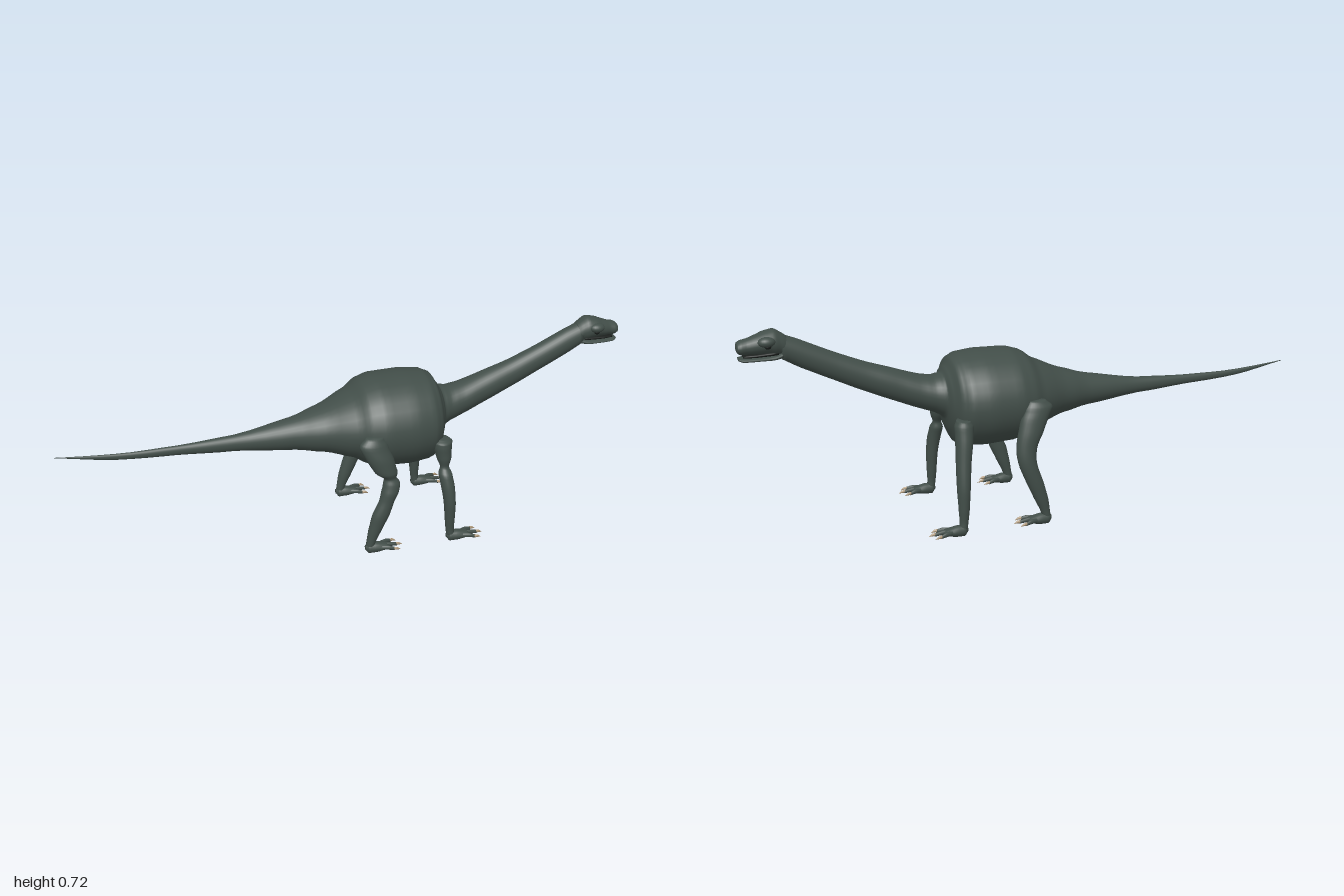
import * as THREE from 'three';

const hide = new THREE.MeshStandardMaterial({ color: 0x424e49 });
hide.name = 'hide';
const claw = new THREE.MeshStandardMaterial({ color: 0xb09a7c });
claw.name = 'claw';
const dark = new THREE.MeshStandardMaterial({ color: 0x1a1e1c });
dark.name = 'dark mouth and eyes';

// Smooth skin through elliptical sections [x, y, z, ra, rb].
// axis 'x': ra is the height radius, rb the z radius. axis 'y': ra is the x radius, rb the z radius.
function loft(name, axis, sections, material = hide, sides = 24, steps = 4) {
  const centres = new THREE.CatmullRomCurve3(sections.map(s => new THREE.Vector3(s[0], s[1], s[2])));
  const n = (sections.length - 1) * steps;
  const pos = [], idx = [];
  for (let j = 0; j <= n; j++) {
    const c = centres.getPoint(j / n);
    const k = Math.min(Math.floor(j / steps), sections.length - 2);
    const t = j / steps - k, e = t * t * (3 - 2 * t) * 0.4 + t * 0.6;
    const ra = THREE.MathUtils.lerp(sections[k][3], sections[k + 1][3], e);
    const rb = THREE.MathUtils.lerp(sections[k][4], sections[k + 1][4], e);
    for (let i = 0; i < sides; i++) {
      const a = i / sides * Math.PI * 2, u = Math.cos(a), v = Math.sin(a);
      if (axis === 'x') pos.push(c.x, c.y + ra * u, c.z + rb * v);
      else pos.push(c.x + ra * v, c.y, c.z + rb * u);
    }
  }
  for (let j = 0; j < n; j++) for (let i = 0; i < sides; i++) {
    const a = j * sides + i, b = j * sides + (i + 1) % sides;
    idx.push(a, b, a + sides, b, b + sides, a + sides);
  }
  // End caps
  const first = sections[0], last = sections[sections.length - 1], c0 = pos.length / 3;
  pos.push(first[0], first[1], first[2], last[0], last[1], last[2]);
  for (let i = 0; i < sides; i++) {
    const k = (i + 1) % sides;
    idx.push(c0, k, i, c0 + 1, n * sides + i, n * sides + k);
  }
  const g = new THREE.BufferGeometry();
  g.setAttribute('position', new THREE.Float32BufferAttribute(pos, 3));
  g.setIndex(idx);
  g.computeVertexNormals();
  const mesh = new THREE.Mesh(g, material);
  mesh.name = name;
  return mesh;
}

function ball(name, p, r, material) {
  const m = new THREE.Mesh(new THREE.SphereGeometry(1, 20, 14), material);
  m.name = name;
  m.position.set(...p);
  m.scale.set(...r);
  return m;
}

// Foot with splayed toes and claws; x is the heel, z the middle of the foot
function makeFoot(name, x, z) {
  const foot = new THREE.Group();
  foot.name = name;
  foot.add(loft('footPad', 'x', [
    [x, 0.022, z, 0.008, 0.008], [x + 0.012, 0.02, z, 0.02, 0.018],
    [x + 0.04, 0.02, z, 0.019, 0.021], [x + 0.075, 0.02, z, 0.011, 0.022],
    [x + 0.085, 0.02, z, 0.004, 0.014]], hide, 16));
  for (const s of [-1, 0, 1]) {
    const len = s ? 0.1 : 0.115;
    foot.add(loft('toe', 'x', [
      [x + 0.05, 0.021, z + s * 0.012, 0.008, 0.007],
      [x + 0.08, 0.022, z + s * 0.022, 0.008, 0.007],
      [x + len, 0.018, z + s * 0.027, 0.006, 0.005]], hide, 10));
    foot.add(loft('toeClaw', 'x', [
      [x + len - 0.003, 0.019, z + s * 0.027, 0.006, 0.005],
      [x + len + 0.008, 0.019, z + s * 0.029, 0.005, 0.004],
      [x + len + 0.02, 0.014, z + s * 0.029, 0.001, 0.001]], claw, 8));
  }
  return foot;
}

export function createModel() {
  const model = new THREE.Group();
  model.name = 'longNeckedDinosaur';

  // Tail, barrel body and neck: x, centre height, height radius, width radius
  model.add(loft('bodyTailAndNeck', 'x', [
    [-1, 0.425, 0.001, 0.001], [-0.8, 0.4, 0.011, 0.007], [-0.6, 0.395, 0.017, 0.012],
    [-0.4, 0.395, 0.029, 0.024], [-0.2, 0.403, 0.057, 0.058], [-0.1, 0.41, 0.08, 0.092],
    [0, 0.418, 0.116, 0.142], [0.05, 0.421, 0.148, 0.17], [0.1, 0.421, 0.162, 0.184],
    [0.2, 0.42, 0.166, 0.186], [0.27, 0.42, 0.16, 0.174], [0.3, 0.42, 0.148, 0.152],
    [0.32, 0.427, 0.11, 0.115], [0.335, 0.44, 0.075, 0.082], [0.37, 0.449, 0.063, 0.07],
    [0.42, 0.464, 0.059, 0.061], [0.5, 0.495, 0.056, 0.051], [0.6, 0.535, 0.051, 0.042],
    [0.7, 0.581, 0.048, 0.038], [0.8, 0.63, 0.047, 0.037], [0.86, 0.66, 0.042, 0.037],
  ].map(s => [s[0], s[1], 0, s[2], s[3]]), hide, 32));

  // Head
  const head = new THREE.Group();
  head.name = 'head';
  head.add(loft('skull', 'x', [
    [0.84, 0.655, 0, 0.038, 0.033], [0.86, 0.67, 0, 0.038, 0.038], [0.88, 0.677, 0, 0.043, 0.044],
    [0.91, 0.678, 0, 0.037, 0.046], [0.94, 0.673, 0, 0.031, 0.037], [0.965, 0.669, 0, 0.026, 0.031],
    [0.985, 0.667, 0, 0.024, 0.032], [0.996, 0.667, 0, 0.018, 0.028], [1, 0.667, 0, 0.008, 0.015]]));
  head.add(loft('lowerJaw', 'x', [
    [0.855, 0.636, 0, 0.012, 0.033], [0.88, 0.63, 0, 0.01, 0.039], [0.93, 0.628, 0, 0.008, 0.037],
    [0.98, 0.628, 0, 0.008, 0.031], [0.995, 0.63, 0, 0.005, 0.02]]));
  head.add(loft('mouthLining', 'x', [
    [0.87, 0.643, 0, 0.01, 0.03], [0.94, 0.64, 0, 0.008, 0.029], [0.98, 0.639, 0, 0.006, 0.022]], dark));
  for (const s of [-1, 1]) {
    head.add(ball('browRidge', [0.907, 0.686, s * 0.036], [0.028, 0.017, 0.021], hide));
    head.add(ball('eye', [0.905, 0.673, s * 0.044], [0.011, 0.008, 0.008], dark));
  }
  model.add(head);

  // Left-hand limbs in the +z half have pinched elbows and knees
  model.add(loft('foreLegPinched', 'y', [
    [0.325, 0.025, 0.2, 0.014, 0.015], [0.322, 0.05, 0.2, 0.015, 0.015], [0.32, 0.1, 0.2, 0.018, 0.021],
    [0.318, 0.16, 0.198, 0.021, 0.026], [0.312, 0.22, 0.188, 0.024, 0.027], [0.306, 0.262, 0.175, 0.024, 0.027],
    [0.305, 0.287, 0.166, 0.015, 0.015], [0.304, 0.32, 0.158, 0.026, 0.028],
    [0.3, 0.36, 0.15, 0.033, 0.036], [0.3, 0.38, 0.15, 0.034, 0.033], [0.3, 0.39, 0.145, 0.022, 0.02]]));
  model.add(loft('hindLegPinched', 'y', [
    [0.026, 0.025, 0.2, 0.014, 0.015], [0.032, 0.05, 0.2, 0.017, 0.016], [0.048, 0.1, 0.2, 0.025, 0.021],
    [0.065, 0.15, 0.202, 0.031, 0.024], [0.085, 0.2, 0.2, 0.027, 0.023], [0.098, 0.235, 0.196, 0.031, 0.028],
    [0.104, 0.265, 0.192, 0.03, 0.025], [0.1, 0.285, 0.188, 0.022, 0.02], [0.086, 0.31, 0.185, 0.04, 0.032],
    [0.065, 0.36, 0.18, 0.048, 0.033], [0.045, 0.41, 0.172, 0.05, 0.028], [0.05, 0.438, 0.168, 0.03, 0.018]]));

  // Smooth limbs in the -z half
  model.add(loft('foreLegSmooth', 'y', [
    [0.325, 0.025, -0.2, 0.014, 0.015], [0.322, 0.05, -0.199, 0.015, 0.015], [0.32, 0.1, -0.197, 0.019, 0.021],
    [0.318, 0.17, -0.191, 0.023, 0.027], [0.312, 0.25, -0.175, 0.026, 0.03], [0.304, 0.32, -0.16, 0.03, 0.033],
    [0.3, 0.37, -0.148, 0.033, 0.033], [0.3, 0.39, -0.145, 0.024, 0.028]]));
  model.add(loft('hindLegSmooth', 'y', [
    [0.026, 0.025, -0.2, 0.014, 0.015], [0.032, 0.05, -0.2, 0.017, 0.016], [0.048, 0.1, -0.2, 0.025, 0.021],
    [0.07, 0.16, -0.2, 0.03, 0.024], [0.094, 0.23, -0.197, 0.032, 0.026], [0.094, 0.28, -0.19, 0.036, 0.028],
    [0.078, 0.33, -0.184, 0.044, 0.03], [0.06, 0.38, -0.177, 0.049, 0.029],
    [0.045, 0.415, -0.172, 0.05, 0.026], [0.05, 0.438, -0.168, 0.03, 0.018]]));

  // Feet
  for (const s of [-1, 1]) {
    model.add(makeFoot('foreFoot', 0.31, s * 0.2));
    model.add(makeFoot('hindFoot', 0.01, s * 0.2));
  }
  return model;
}
